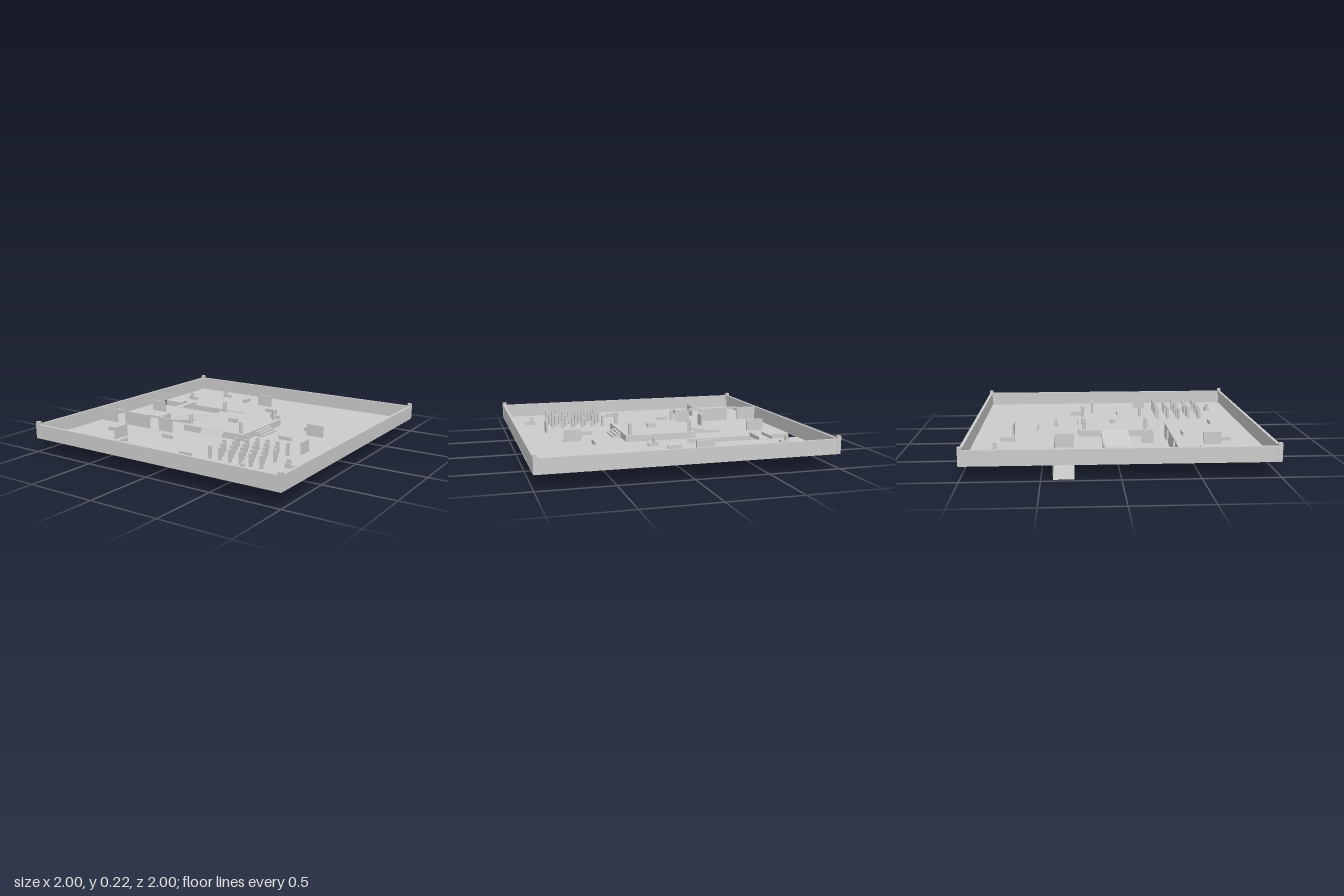
import * as THREE from 'three';

const FLOOR = 0.1;

export function createModel() {
  const model = new THREE.Group();
  model.name = 'arena';
  const grey = new THREE.MeshStandardMaterial({ color: 0xcccccc, side: THREE.DoubleSide });
  grey.name = 'light grey';

  const add = (name, geometry, parent = model) => {
    const mesh = new THREE.Mesh(geometry, grey);
    mesh.name = name;
    parent.add(mesh);
    return mesh;
  };
  // Box given by its x, y and z ranges
  const box = (name, x0, x1, y0, y1, z0, z1, parent) =>
    add(name, new THREE.BoxGeometry(x1 - x0, y1 - y0, z1 - z0), parent)
      .position.set((x0 + x1) / 2, (y0 + y1) / 2, (z0 + z1) / 2);
  // Box standing on a base height, centred on x and z
  const block = (name, x, z, w, h, d, base = FLOOR, parent) =>
    box(name, x - w / 2, x + w / 2, base, base + h, z - d / 2, z + d / 2, parent);
  const group = (name) => {
    const g = new THREE.Group();
    g.name = name;
    model.add(g);
    return g;
  };

  // Floor sheet with the trench cut out
  const T = { x0: -0.972, x1: -0.165, z0: -0.425, z1: -0.29 };
  const floor = new THREE.Shape([[-1, -1], [1, -1], [1, 1], [-1, 1]].map(p => new THREE.Vector2(...p)));
  floor.holes.push(new THREE.Path(
    [[T.x0, -T.z0], [T.x1, -T.z0], [T.x1, -T.z1], [T.x0, -T.z1]].map(p => new THREE.Vector2(...p))));
  add('floor', new THREE.ShapeGeometry(floor).rotateX(-Math.PI / 2).translate(0, FLOOR, 0));

  // Trench: base, two long sides and the inner end; its outer end is open
  const trench = group('trench');
  const len = T.x1 - T.x0, wid = T.z1 - T.z0, cx = (T.x0 + T.x1) / 2, cz = (T.z0 + T.z1) / 2;
  add('trenchBase', new THREE.PlaneGeometry(len, wid).rotateX(-Math.PI / 2).translate(cx, 0, cz), trench);
  add('trenchBackSide', new THREE.PlaneGeometry(len, FLOOR).translate(cx, FLOOR / 2, T.z0), trench);
  add('trenchFrontSide', new THREE.PlaneGeometry(len, FLOOR).translate(cx, FLOOR / 2, T.z1), trench);
  add('trenchEnd', new THREE.PlaneGeometry(wid, FLOOR).rotateY(-Math.PI / 2).translate(T.x1, FLOOR / 2, cz), trench);

  // Footbridge over the trench
  const bridge = group('bridge');
  box('bridgeDeck', -0.768, -0.668, 0.094, 0.102, -0.445, -0.275, bridge);
  for (const x of [-0.766, -0.67]) box('bridgeRail', x - 0.002, x + 0.002, 0.1, 0.122, -0.445, -0.275, bridge);

  // Outer walls and corner posts
  const walls = group('outerWalls');
  for (const s of [-1, 1]) {
    block('sideWall', s * 0.988, 0, 0.02, 0.1, 1.95, FLOOR, walls);
    block('endWall', 0, s * 0.988, 1.95, 0.1, 0.02, FLOOR, walls);
    for (const t of [-1, 1]) block('cornerPost', s * 0.986, t * 0.986, 0.028, 0.12, 0.028, FLOOR, walls);
  }

  // Raised platform with poles and a small block on top
  const H = 0.045;
  const platform = group('platform');
  block('platformSlab', 0, 0, 0.515, H, 0.515, FLOOR, platform);
  block('platformBlock', 0, 0, 0.068, 0.03, 0.032, FLOOR + H, platform);
  for (const x of [-0.22, 0.22]) for (const z of [-0.22, 0.22])
    add('pole', new THREE.CylinderGeometry(0.0125, 0.0125, 0.08, 16), platform).position.set(x, FLOOR + H + 0.04, z);

  // Stairs on the left side
  for (let i = 0; i < 3; i++)
    box('stair', 0.257 + i * 0.02, 0.277 + i * 0.02, FLOOR, FLOOR + H * (3 - i) / 4, -0.095, 0.095, platform);

  // Wedges: a long ramp on the right and a steep slope at the front
  const wedge = (run) => new THREE.ExtrudeGeometry(
    new THREE.Shape([new THREE.Vector2(0, 0), new THREE.Vector2(run, 0), new THREE.Vector2(0, H)]),
    { depth: 0.19, bevelEnabled: false }).translate(0, 0, -0.095);
  const ramp = add('ramp', wedge(0.285), platform);
  ramp.rotation.y = Math.PI;
  ramp.position.set(-0.257, FLOOR, 0);
  const slope = add('steepSlope', wedge(0.026), platform);
  slope.rotation.y = -Math.PI / 2;
  slope.position.set(-0.003, FLOOR, 0.257);

  // Partition with two doorways under lintels
  const partition = group('partition');
  for (const [a, b] of [[-0.978, -0.82], [-0.74, -0.5], [-0.413, -0.293]])
    box('partitionWall', a, b, FLOOR, 0.2, 0.35, 0.36, partition);
  for (const [a, b] of [[-0.825, -0.737], [-0.503, -0.41]])
    box('lintel', a, b, 0.19, 0.206, 0.347, 0.363, partition);

  // Free-standing barriers: x, z, length, whether tall, whether along z
  const barriers = group('barriers');
  for (const [x, z, l, tall, alongZ] of [
    [-0.165, -0.72, 0.127, 1, 0], [-0.782, -0.1, 0.127, 1, 0], [0.615, -0.132, 0.127, 1, 0],
    [-0.522, 0.648, 0.125, 1, 1], [0.745, 0.258, 0.095, 1, 1], [-0.457, 0.21, 0.085, 1, 1],
    [-0.36, -0.748, 0.1, 0, 1], [0.488, -0.262, 0.097, 0, 1], [-0.425, 0.745, 0.1, 0, 1],
    [-0.003, -0.555, 0.1, 0, 0], [0.483, 0.065, 0.095, 0, 0], [-0.23, 0.488, 0.087, 0, 0],
    [-0.682, 0.55, 0.095, 0, 0], [0.127, 0.745, 0.1, 0, 0]]) {
    const t = 0.013, h = tall ? 0.085 : 0.027;
    block(tall ? 'tallBarrier' : 'lowBarrier', x, z, alongZ ? t : l, h, alongZ ? l : t, FLOOR, barriers);
  }

  // Stepped obstacles: cube with a knob and a lower block beside it
  const obstacles = group('obstacles');
  for (const [x, z] of [[-0.603, -0.817], [-0.798, -0.587], [0.112, -0.425], [0.825, 0.583], [0.63, 0.813]]) {
    block('obstacleCube', x - 0.018, z, 0.035, 0.03, 0.033, FLOOR, obstacles);
    block('obstacleKnob', x - 0.016, z, 0.02, 0.026, 0.02, FLOOR + 0.03, obstacles);
    block('obstacleStep', x + 0.017, z, 0.035, 0.022, 0.028, FLOOR, obstacles);
  }

  // Staggered field of square pillars
  const pillars = group('pillars');
  for (let r = 0; r < 5; r++) {
    const odd = r % 2;
    for (let i = 0; i < 6 - odd; i++)
      block('pillar', 0.29 + odd * 0.039 + i * 0.078, 0.37 + r * 0.0815, 0.019, 0.085, 0.019, FLOOR, pillars);
  }

  return model;
}
